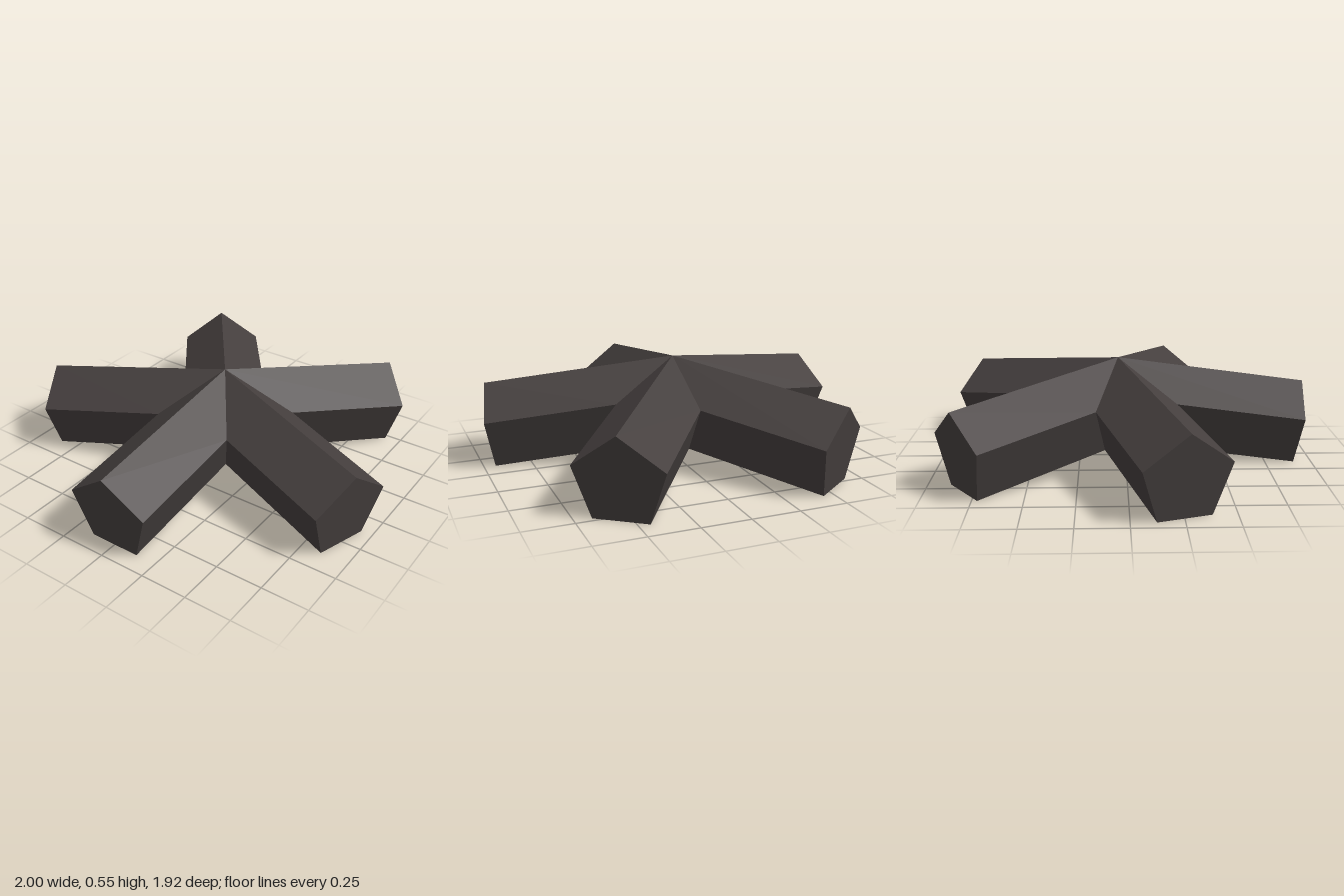
import * as THREE from 'three';

const LEGS = 5;
const RADIUS = 0.233;                      // pentagonal section
const TILT = THREE.MathUtils.degToRad(7.6); // legs droop outwards
const END = { y: 0.187, z: 0.969 };        // centre of the outer end, measured from the hub

// One five-sided leg, mitred against its neighbours at the hub
function legGeometry() {
  const section = [];
  for (let k = 0; k < 5; k++) {
    const t = k * Math.PI * 2 / 5;
    section.push([-RADIUS * Math.sin(t), RADIUS * Math.cos(t)]);
    // extra point under the leg so the mitre reaches the hub centre
    if (k === 2) section.push([0, RADIUS * Math.cos(t)]);
  }

  const outer = section.map(([x, h]) =>
    new THREE.Vector3(x, END.y + h * Math.cos(TILT), END.z + h * Math.sin(TILT)));
  const inner = outer.map((p) => {
    const z = Math.abs(p.x) / Math.tan(Math.PI / LEGS);
    return new THREE.Vector3(p.x, p.y + (p.z - z) * Math.tan(TILT), z);
  });

  const points = [];
  const n = section.length;
  for (let k = 0; k < n; k++) {
    const j = (k + 1) % n;
    points.push(outer[k], inner[k], outer[j], outer[j], inner[k], inner[j]); // side
    if (k > 0 && j > 0) points.push(outer[0], outer[k], outer[j]);           // end cap
  }
  const geometry = new THREE.BufferGeometry().setFromPoints(points);
  geometry.computeVertexNormals();
  return geometry;
}

export function createModel() {
  const group = new THREE.Group();
  group.name = 'fiveLeggedBase';
  const darkBrown = new THREE.MeshStandardMaterial({ color: 0x453f3e, flatShading: true });
  darkBrown.name = 'darkBrown';

  const geometry = legGeometry();
  const star = new THREE.Group();
  star.name = 'legs';
  star.position.z = -0.04;
  for (let i = 0; i < LEGS; i++) {
    const leg = new THREE.Mesh(geometry, darkBrown);
    leg.name = `leg${i + 1}`;
    leg.rotation.y = i * Math.PI * 2 / LEGS;
    star.add(leg);
  }
  group.add(star);
  return group;
}
